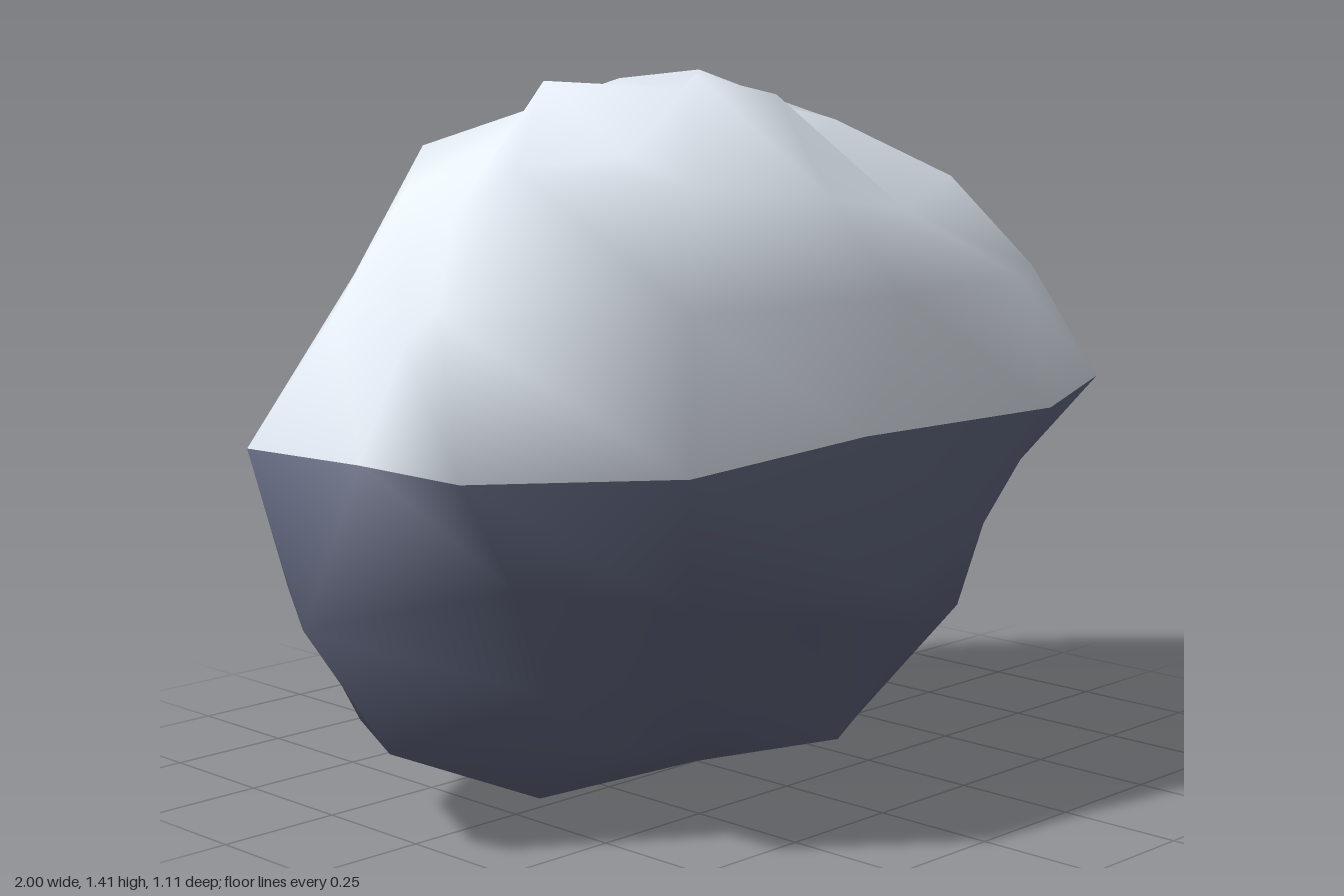
import * as THREE from 'three';
import { mergeVertices } from 'three/addons/utils/BufferGeometryUtils.js';

const SEGMENTS = 12, RINGS = 8;
const CENTRE_Y = 0.73;
const RADII = [1.02, 0.69, 0.557];

// Bump factor of each vertex, ring by ring from the top pole to the bottom pole.
// Within a ring: from +x, through the front (+z), to -x and round the back.
const BUMPS = [
  [0.93],
  [0.91, 0.9, 0.8, 1.0, 1.07, 0.83, 1.05, 0.9, 0.98, 1.03, 1.05, 0.96],
  [0.81, 0.92, 0.83, 0.91, 1.0, 1.08, 0.88, 0.95, 1.09, 0.87, 0.98, 0.8],
  [1.02, 0.95, 1.0, 1.05, 1.04, 1.14, 0.8, 0.9, 1.05, 1.08, 0.96, 0.88],
  [0.95, 1.07, 1.02, 0.81, 1.08, 0.98, 0.85, 1.02, 1.09, 0.74, 1.04, 0.96],
  [1.06, 0.83, 0.9, 1.07, 1.0, 0.85, 1.06, 1.02, 1.05, 0.88, 0.85, 1.04],
  [0.88, 0.97, 0.92, 0.8, 0.9, 0.92, 1.12, 1.12, 1.15, 0.88, 1.02, 0.81],
  [1.0, 1.08, 1.08, 0.92, 0.92, 0.98, 1.12, 1.0, 0.95, 0.9, 0.89, 1.08],
  [1.06],
];

export function createModel() {
  // Lumpy boulder: a coarse sphere with every vertex pushed in or out
  const sphere = new THREE.SphereGeometry(1, SEGMENTS, RINGS);
  const pos = sphere.attributes.position;
  const v = new THREE.Vector3();
  for (let i = 0; i < pos.count; i++) {
    const ring = BUMPS[Math.floor(i / (SEGMENTS + 1))];
    const k = i % (SEGMENTS + 1);
    const j = (SEGMENTS * 1.5 - k) % SEGMENTS;
    const bump = ring[ring.length === 1 ? 0 : j];
    v.fromBufferAttribute(pos, i).multiplyScalar(bump);
    pos.setXYZ(i, v.x * RADII[0], v.y * RADII[1] + CENTRE_Y, v.z * RADII[2]);
  }

  // Weld the seam so shading is smooth all the way round
  sphere.deleteAttribute('uv');
  sphere.deleteAttribute('normal');
  const rock = mergeVertices(sphere, 1e-4);
  rock.computeVertexNormals();

  // Split at the equator into a pale top and a dark underside
  const index = Array.from(rock.index.array);
  const half = index.length / 2;
  const group = new THREE.Group();
  group.name = 'boulder';
  const addHalf = (name, indices, color) => {
    const geometry = rock.clone();
    geometry.setIndex(indices);
    const mesh = new THREE.Mesh(geometry, new THREE.MeshStandardMaterial({ color }));
    mesh.name = name;
    group.add(mesh);
  };
  addHalf('upperRock', index.slice(0, half), 0xe6eef8);
  addHalf('lowerRock', index.slice(half), 0x626880);
  return group;
}
